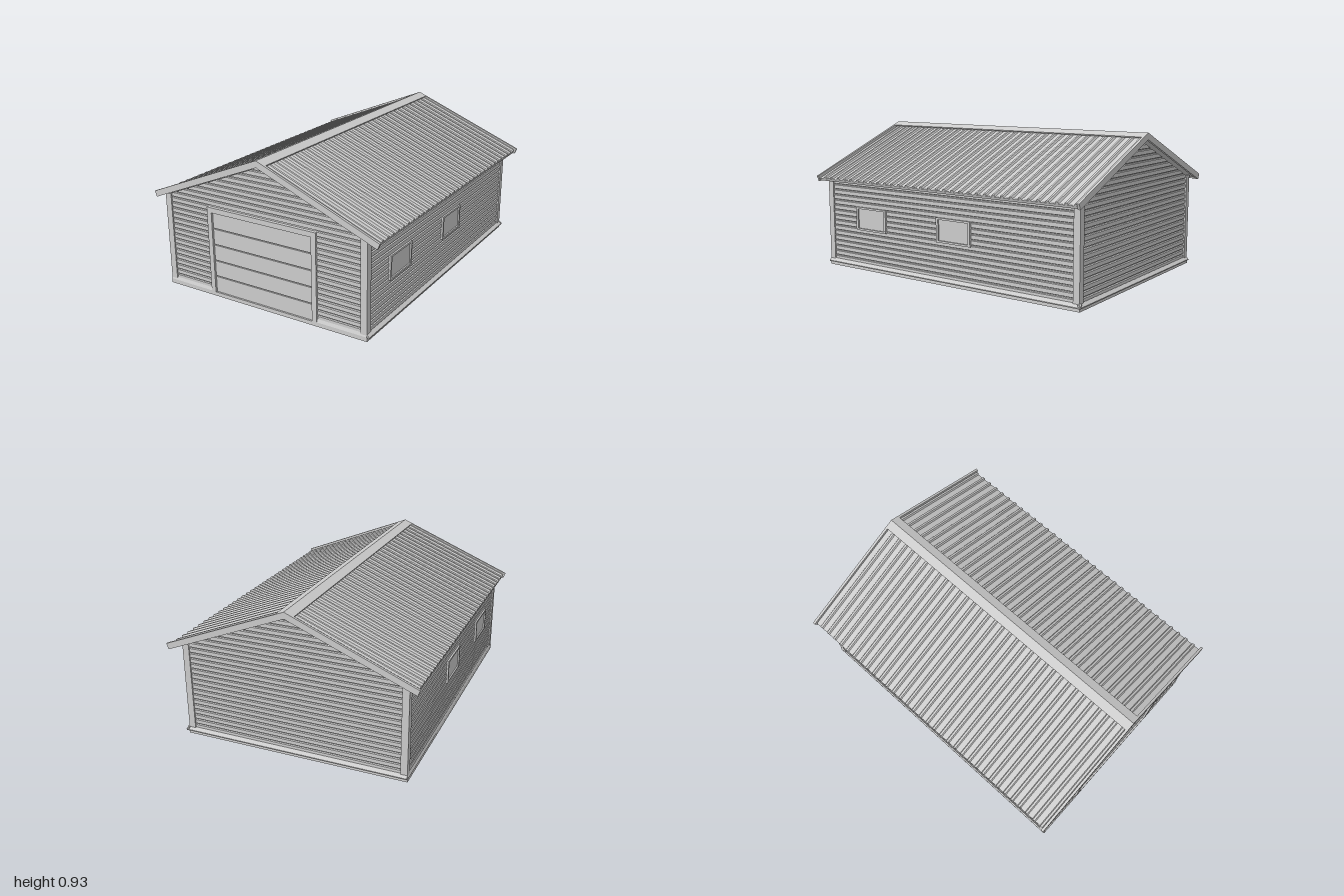
import * as THREE from 'three';

const GREY = new THREE.MeshStandardMaterial({ color: 0xcccccc, flatShading: true, side: THREE.DoubleSide });
const SLOPE = Math.atan(0.408);          // roof pitch
const RIDGE = 0.925, ROOF_LEN = 0.848, ROOF_T = 0.038;
const HX = 0.708, HZ = 0.97;             // half size of the walls
const APEX = 0.876, EAVE = 0.592;        // wall heights
const ROW = 0.0342, Y0 = 0.03;           // siding board pitch and start

function add(parent, name, geometry, x = 0, y = 0, z = 0) {
  const m = new THREE.Mesh(geometry, GREY);
  m.name = name;
  m.position.set(x, y, z);
  parent.add(m);
  return m;
}

// box given by its limits
function block(parent, name, x0, x1, y0, y1, z0, z1) {
  return add(parent, name, new THREE.BoxGeometry(x1 - x0, y1 - y0, z1 - z0),
    (x0 + x1) / 2, (y0 + y1) / 2, (z0 + z1) / 2);
}

function extrude(points, depth) {
  const shape = new THREE.Shape(points.map(p => new THREE.Vector2(p[0], p[1])));
  return new THREE.ExtrudeGeometry(shape, { depth, bevelEnabled: false });
}

// grooved horizontal boards; span(y) gives the left and right limits
function siding(firstRow, lastRow, span) {
  const profile = [[0, -0.008], [0.12, -0.008], [0.22, 0], [0.9, 0], [1, -0.008]];
  const pos = [];
  for (let r = firstRow; r < lastRow; r++) {
    for (let i = 0; i < profile.length - 1; i++) {
      const [ya, yb] = [i, i + 1].map(k => Y0 + (r + profile[k][0]) * ROW);
      const za = profile[i][1], zb = profile[i + 1][1];
      const [a0, a1] = span(ya), [b0, b1] = span(yb);
      pos.push(a0, ya, za, a1, ya, za, b1, yb, zb, a0, ya, za, b1, yb, zb, b0, yb, zb);
    }
  }
  const g = new THREE.BufferGeometry();
  g.setAttribute('position', new THREE.Float32BufferAttribute(pos, 3));
  g.computeVertexNormals();
  return g;
}

const gableSpan = y => {
  const h = Math.max(0, Math.min(HX - 0.03, (APEX - y) / 0.408));
  return [-h, h];
};

// a gable wall facing +z
function gableWall(name, hasDoor) {
  const g = new THREE.Group();
  g.name = name;
  const w = HX - 0.012;
  add(g, 'gableLining', extrude([[-w, 0.005], [w, 0.005], [w, EAVE], [0, APEX], [-w, EAVE]], 0.012), 0, 0, HZ - 0.03);
  const z = HZ - 0.008;
  if (!hasDoor) {
    add(g, 'gableSiding', siding(0, 25, gableSpan), 0, 0, z);
    return g;
  }
  add(g, 'gableSiding', siding(16, 25, gableSpan), 0, 0, z);
  for (const s of [-1, 1]) {
    add(g, 'doorSideSiding', siding(0, 16, () => [s * 0.525 - 0.153, s * 0.525 + 0.153]), 0, 0, z);
    block(g, 'doorJamb', s * 0.367 - 0.016, s * 0.367 + 0.016, 0.025, 0.573, HZ - 0.03, HZ + 0.004);
  }
  block(g, 'doorHead', -0.383, 0.383, 0.541, 0.573, HZ - 0.03, HZ + 0.004);
  // sectional door
  const n = 5, h = (0.541 - 0.025) / n;
  block(g, 'doorBacking', -0.351, 0.351, 0.025, 0.541, HZ - 0.032, HZ - 0.016);
  for (let i = 0; i < n; i++) {
    const y = 0.025 + i * h;
    block(g, 'doorPanel', -0.351, 0.351, y + (i ? 0.003 : 0), y + h - (i < n - 1 ? 0.003 : 0), HZ - 0.03, HZ - 0.009);
  }
  return g;
}

// a long wall facing +z, with windows at the given positions
function longWall(name, windowCentres) {
  const g = new THREE.Group();
  g.name = name;
  const z = HX - 0.008;
  block(g, 'sideLining', -HZ + 0.02, HZ - 0.02, 0.005, EAVE, HX - 0.03, HX - 0.017);
  add(g, 'sideSiding', siding(0, 16.4, () => [-HZ + 0.03, HZ - 0.03]), 0, 0, z);
  for (const c of windowCentres) {
    block(g, 'windowPane', c - 0.12, c + 0.12, 0.27, 0.41, z - 0.005, z + 0.002);
    for (const s of [-1, 1]) {
      block(g, 'windowStile', c + s * 0.122 - 0.008, c + s * 0.122 + 0.008, 0.262, 0.414, z - 0.008, z + 0.011);
      block(g, 'windowRail', c - 0.115, c + 0.115, 0.338 + s * 0.07 - 0.006, 0.338 + s * 0.07 + 0.006, z - 0.008, z + 0.011);
    }
  }
  return g;
}

// sloping strip along the wall foot, facing +z
function drip(parent, x0, x1, z, out) {
  const g = extrude([[0, 0.02], [out, 0.022], [out, 0.028], [0, 0.046]], x1 - x0);
  g.rotateY(-Math.PI / 2);
  add(parent, 'footFlashing', g, x1, 0, z - 0.004);
}

// one roof slope: x runs down the slope, y is its normal
function roofSlope() {
  const g = new THREE.Group();
  g.name = 'roofSlope';
  const ribs = 33, half = 0.985, p = 2 * half / ribs;
  const pts = [[-half, -0.03]];
  for (let i = 0; i < ribs; i++) {
    const z = -half + i * p;
    pts.push([z, -0.02], [z + p * 0.58, -0.02], [z + p * 0.68, -0.009], [z + p * 0.9, -0.009]);
  }
  pts.push([half, -0.02], [half, -0.03]);
  const sheet = extrude(pts.reverse(), ROOF_LEN - 0.012);
  sheet.rotateY(Math.PI / 2);
  add(g, 'ribbedSheet', sheet);
  for (const s of [-1, 1]) {
    block(g, 'bargeBoard', 0, ROOF_LEN, -ROOF_T, 0, s * 0.992 - 0.008, s * 0.992 + 0.008);
  }
  block(g, 'ridgeCap', 0, 0.06, -0.008, 0, -0.99, 0.99);
  block(g, 'eaveTrim', ROOF_LEN - 0.02, ROOF_LEN - 0.01, -ROOF_T, -0.022, -0.99, 0.99);
  g.rotation.z = -SLOPE;
  g.position.y = RIDGE;
  return g;
}

export function createModel() {
  const model = new THREE.Group();
  model.name = 'garage';

  const walls = new THREE.Group();
  walls.name = 'walls';
  walls.position.set(-0.007, 0, 0.01);
  model.add(walls);

  // four walls
  const front = gableWall('frontWall', true);
  const back = gableWall('backWall', false);
  back.rotation.y = Math.PI;
  const right = longWall('sideWall', [-0.585, 0.095]);
  right.rotation.y = Math.PI / 2;
  const left = longWall('sideWall', [0.585, -0.095]);
  left.rotation.y = -Math.PI / 2;
  walls.add(front, back, right, left);

  // foot flashing
  drip(front, -HX, -0.383, HZ, 0.008);
  drip(front, 0.383, HX, HZ, 0.008);
  drip(back, -HX - 0.012, HX, HZ, 0.018);
  drip(right, -HZ, HZ + 0.012, HX, 0.02);
  drip(left, -HZ, HZ, HX, 0.008);

  // base ring and L-shaped corner trims
  for (const s of [-1, 1]) {
    block(walls, 'baseEnd', -HX - 0.002, HX + 0.002, 0, 0.025, s * (HZ - 0.014) - 0.016, s * (HZ - 0.014) + 0.016);
    block(walls, 'baseSide', s * (HX - 0.014) - 0.016, s * (HX - 0.014) + 0.016, 0, 0.025, -HZ, HZ);
    for (const e of [-1, 1]) {
      const w = 0.042, t = 0.014;
      const x = s * HX, z = e * HZ;
      block(walls, 'cornerTrim', Math.min(x, x - s * w), Math.max(x, x - s * w), 0.025, 0.6,
        Math.min(z, z - e * t), Math.max(z, z - e * t));
      block(walls, 'cornerTrim', Math.min(x, x - s * t), Math.max(x, x - s * t), 0.025, 0.595,
        Math.min(z, z - e * w), Math.max(z, z - e * w));
    }
  }

  // roof
  for (const turn of [0, Math.PI]) {
    const side = new THREE.Group();
    side.name = 'roofSide';
    side.rotation.y = turn;
    side.add(roofSlope());
    model.add(side);
  }
  return model;
}
